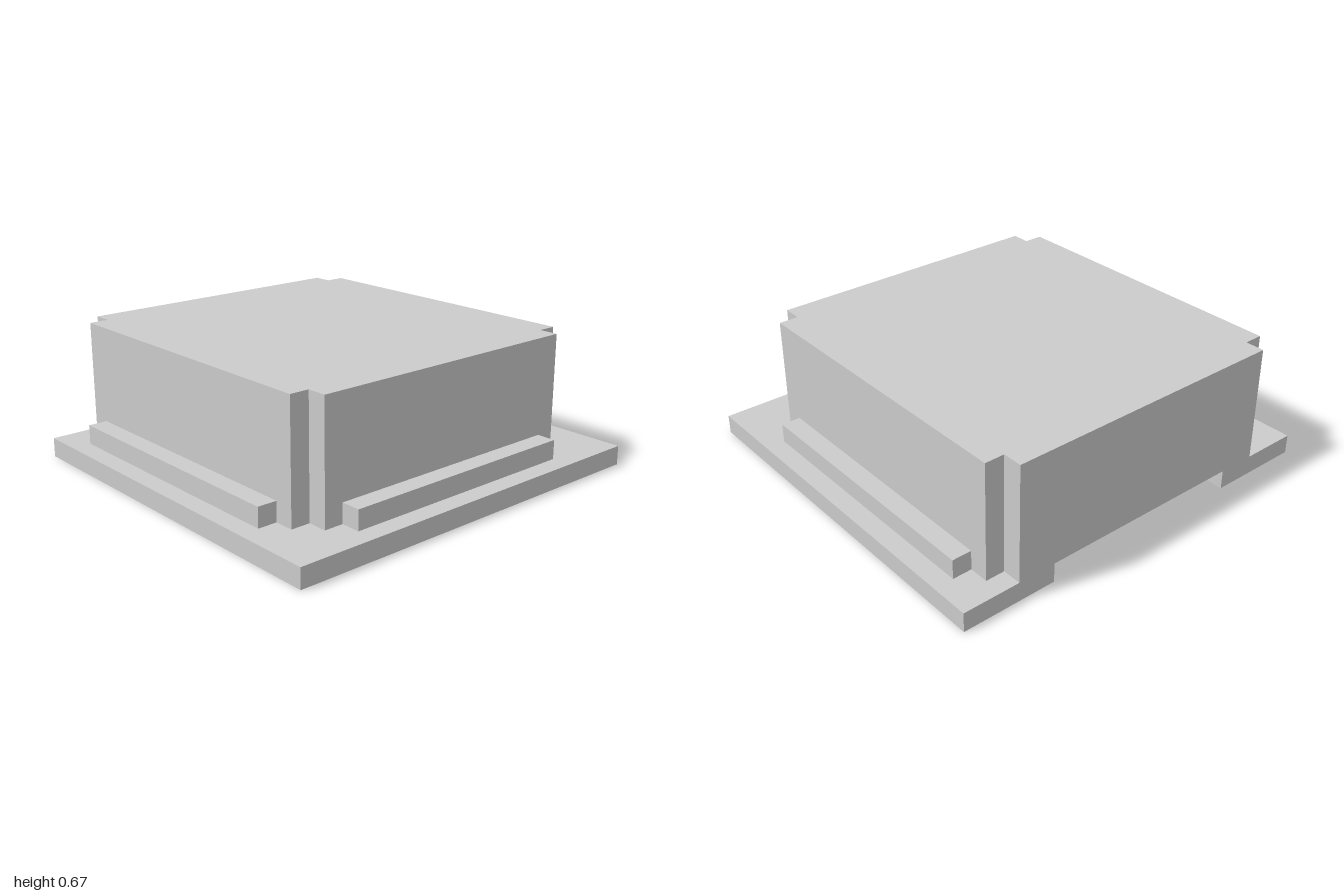
import * as THREE from 'three';

const U = 2 / 21; // size of one grid cell
const material = new THREE.MeshStandardMaterial({ color: 0xcccccc, flatShading: true });

// Plan outline in cells (x right, y towards the back), raised from level y0 to y1
function slab(name, outline, y0, y1) {
  const shape = new THREE.Shape(outline.map(([x, y]) => new THREE.Vector2(x * U, y * U)));
  const geometry = new THREE.ExtrudeGeometry(shape, { depth: (y1 - y0) * U, bevelEnabled: false });
  geometry.rotateX(-Math.PI / 2).translate(0, y0 * U, 0);
  const mesh = new THREE.Mesh(geometry, material);
  mesh.name = name;
  return mesh;
}

// Completes a right-hand half outline with its mirror image
const mirrored = (half) => [...half, ...half.map(([x, y]) => [-x, y]).reverse()];

const rect = (x0, x1, y0, y1) => [[x0, y0], [x1, y0], [x1, y1], [x0, y1]];

export function createModel() {
  const model = new THREE.Group();
  model.name = 'steppedBlock';

  // Base plate with a stepped round recess that opens at the back:
  // each step is [half width, row where it ends, counted from the back]
  const steps = [[5.5, 1], [6.5, 2], [7.5, 3], [8.5, 5], [9.5, 12],
    [8.5, 14], [7.5, 15], [6.5, 16], [5.5, 17], [3.5, 18]];
  const recess = [];
  let row = 0;
  for (const [halfWidth, end] of steps) {
    recess.push([halfWidth, 10 - row], [halfWidth, 10 - end]);
    row = end;
  }
  const plate = [[10.5, -10], [10.5, 10], ...recess];
  model.add(slab('basePlate', mirrored(plate), 0, 1));

  // Main block with notched vertical corners
  const block = [[7.5, -8], [7.5, -7], [8.5, -7], [8.5, 9], [7.5, 9], [7.5, 10]];
  model.add(slab('mainBlock', mirrored(block), 1, 7));

  // Low ledges along the front and both sides
  model.add(slab('frontLedge', rect(-6.5, 6.5, -9, -8), 1, 2));
  model.add(slab('leftLedge', rect(8.5, 9.5, -6, 8), 1, 2));
  model.add(slab('rightLedge', rect(-9.5, -8.5, -6, 8), 1, 2));

  return model;
}
